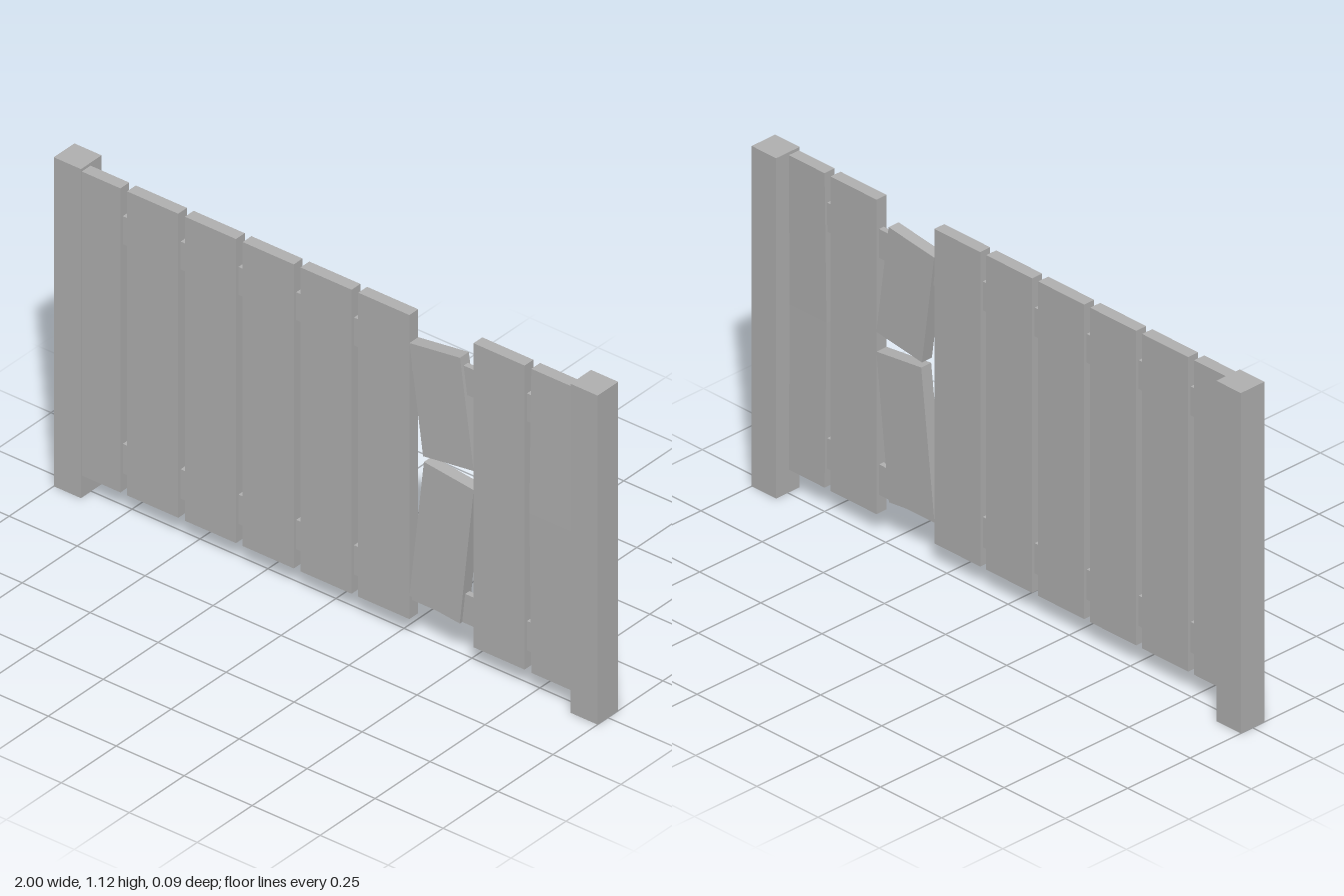
import * as THREE from 'three';

export function createModel() {
  const fence = new THREE.Group();
  fence.name = 'brokenFence';
  const grey = new THREE.MeshStandardMaterial({ color: 0xb2b2b2 });
  grey.name = 'grey';

  const add = (name, geometry) => {
    const mesh = new THREE.Mesh(geometry, grey);
    mesh.name = name;
    fence.add(mesh);
    return mesh;
  };
  // box given by its limits on each axis
  const block = (name, x0, x1, y0, y1, z0, z1) =>
    add(name, new THREE.BoxGeometry(x1 - x0, y1 - y0, z1 - z0))
      .position.set((x0 + x1) / 2, (y0 + y1) / 2, (z0 + z1) / 2);

  const back = 0.003, front = 0.043, bottom = 0.075, top = 1.11;
  const width = 0.188, pitch = 0.2125;

  // end posts
  block('rightPost', -1, -0.9, 0, 1.12, -0.047, 0.047);
  block('leftPost', 0.9, 1, 0, 1.12, -0.047, 0.047);

  // horizontal rails, running inside the planks
  block('lowerRail', -0.95, 0.95, 0.135, 0.235, 0.013, 0.032);
  block('upperRail', -0.95, 0.95, 0.915, 1.01, 0.013, 0.032);

  // whole planks; the seventh place holds the snapped plank
  for (const i of [0, 1, 2, 3, 4, 5, 7]) {
    const x = -0.852 + i * pitch - (i === 7 ? 0.001 : 0);
    block('plank', x - width / 2, x + width / 2, bottom, top, back, front);
  }

  // last plank, cracked and slightly bent at mid height
  const bent = new THREE.BoxGeometry(width, top - bottom, front - back, 1, 2, 1);
  const p = bent.attributes.position;
  for (let i = 0; i < p.count; i++) {
    if (Math.abs(p.getY(i)) < 0.01) {
      p.setXYZ(i, p.getX(i) - 0.005, 0.025, p.getZ(i) + 0.003);
    }
  }
  const bentFlat = bent.toNonIndexed();
  bentFlat.computeVertexNormals();
  add('crackedPlank', bentFlat).position.set(0.848, (bottom + top) / 2, 0.024);

  // two tilted halves of the snapped plank
  const half = (name, corners) => {
    const shape = new THREE.Shape(corners.map(([x, y]) => new THREE.Vector2(x, y)));
    add(name, new THREE.ExtrudeGeometry(shape, { depth: front - back, bevelEnabled: false }))
      .position.z = back;
  };
  half('snappedPlankTop', [[0.355, 0.65], [0.541, 0.675], [0.491, 1.04], [0.305, 1.015]]);
  half('snappedPlankBottom', [[0.305, 0.155], [0.49, 0.135], [0.541, 0.61], [0.358, 0.632]]);

  return fence;
}
